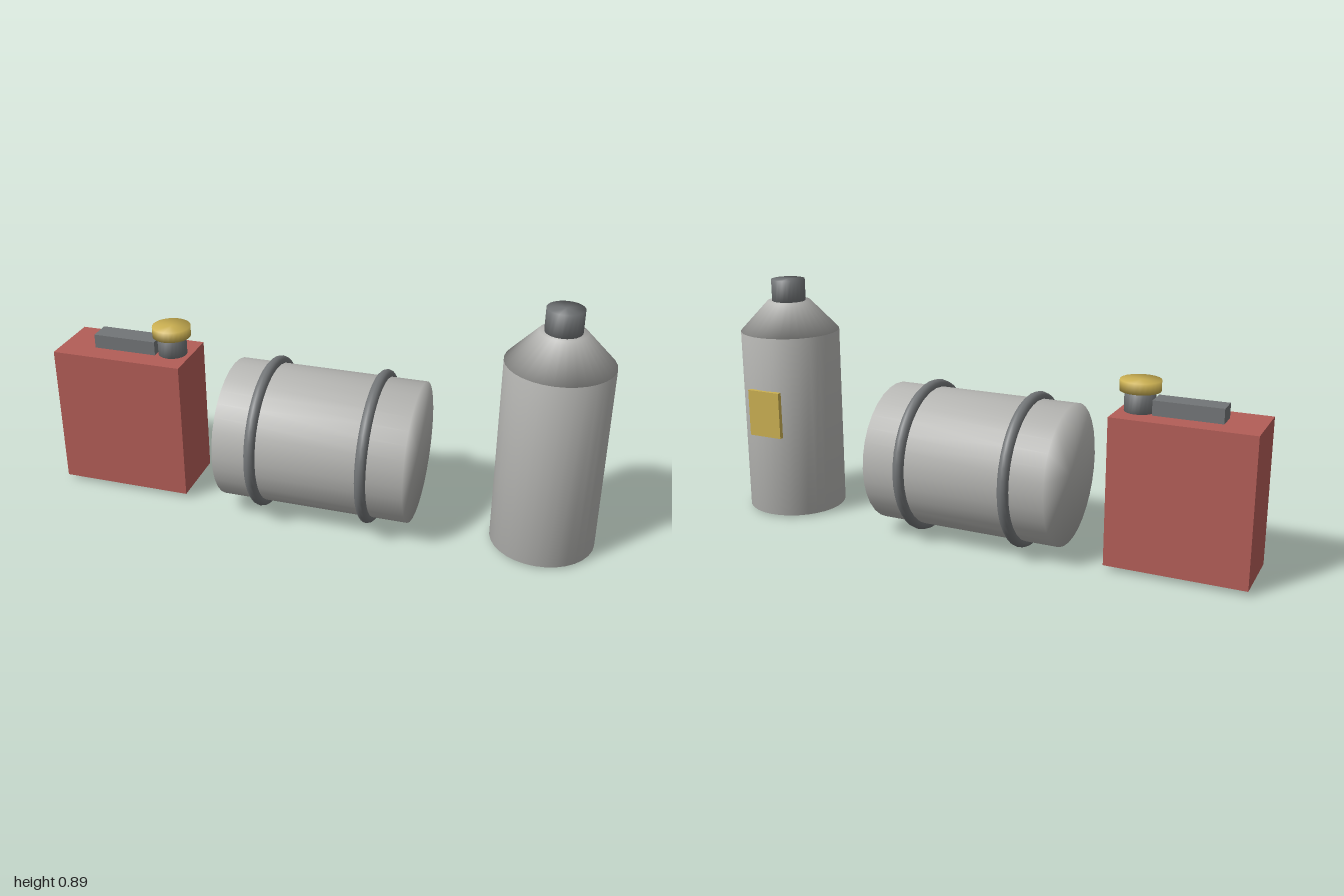
import * as THREE from 'three';
import { mergeVertices } from 'three/addons/utils/BufferGeometryUtils.js';

function material(name, color) {
  const m = new THREE.MeshStandardMaterial({ color });
  m.name = name;
  return m;
}

// Share vertices across the rims so the shading runs smoothly over the whole part
function softCylinder(rTop, rBottom, height, segments = 32) {
  const g = new THREE.CylinderGeometry(rTop, rBottom, height, segments);
  g.deleteAttribute('normal');
  g.deleteAttribute('uv');
  const merged = mergeVertices(g, 1e-4);
  merged.computeVertexNormals();
  return merged;
}

export function createModel() {
  const red = material('red paint', 0xb35d57);
  const steel = material('light steel', 0xb5b5b2);
  const dark = material('dark metal', 0x727577);
  const brass = material('brass', 0xcbb052);

  const model = new THREE.Group();
  model.name = 'fuelContainers';

  const add = (group, name, geometry, mat, x, y, z = 0) => {
    const mesh = new THREE.Mesh(geometry, mat);
    mesh.name = name;
    mesh.position.set(x, y, z);
    group.add(mesh);
    return mesh;
  };
  const addGroup = (name, x, y) => {
    const group = new THREE.Group();
    group.name = name;
    group.position.set(x, y, 0);
    model.add(group);
    return group;
  };

  // Fuel can: box body, carrying bar, spout and cap
  const can = addGroup('fuelCan', -0.7525, 0.02);
  add(can, 'canBody', new THREE.BoxGeometry(0.495, 0.526, 0.24), red, 0, 0.263);
  add(can, 'canHandle', new THREE.BoxGeometry(0.24, 0.052, 0.08), dark, 0.002, 0.552);
  add(can, 'canSpout', softCylinder(0.053, 0.053, 0.075, 24), dark, 0.176, 0.5625);
  add(can, 'canCap', softCylinder(0.07, 0.07, 0.038, 24), brass, 0.176, 0.616);

  // Drum lying along x with two rolling hoops
  const drum = addGroup('drum', 0.01, 0.282);
  add(drum, 'drumBody', softCylinder(0.255, 0.255, 0.69), steel, 0, 0).rotation.z = Math.PI / 2;
  for (const x of [-0.202, 0.198]) {
    const hoop = new THREE.TorusGeometry(0.26, 0.02, 12, 40);
    add(drum, 'drumHoop', hoop, dark, x, 0).rotation.y = Math.PI / 2;
  }

  // Gas bottle: body, tapered shoulder, valve neck and a plate on the back
  const bottle = addGroup('gasBottle', 0.815, 0.01);
  add(bottle, 'bottleBody', softCylinder(0.185, 0.185, 0.69), steel, 0, 0.345);
  add(bottle, 'bottleShoulder', softCylinder(0.08, 0.185, 0.112), steel, 0, 0.746);
  add(bottle, 'bottleNeck', softCylinder(0.063, 0.063, 0.081, 24), dark, 0, 0.8425);
  add(bottle, 'bottlePlate', new THREE.BoxGeometry(0.134, 0.175, 0.017), brass, -0.002, 0.402, -0.1885);

  return model;
}
